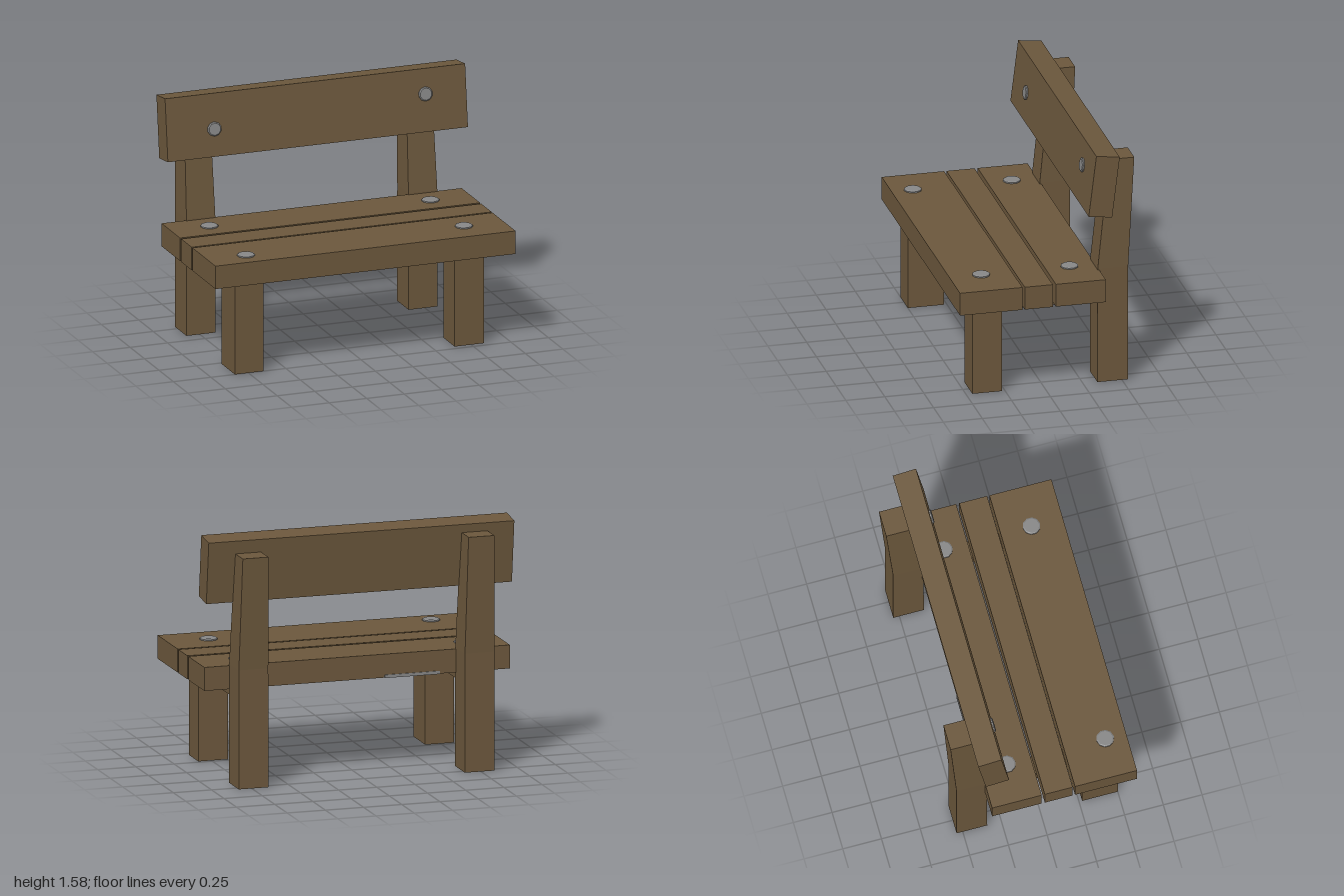
import * as THREE from 'three';

const wood = new THREE.MeshStandardMaterial({ color: 0x6b573c });
wood.name = 'brown wood';
const metal = new THREE.MeshStandardMaterial({ color: 0x868686 });
metal.name = 'grey metal';

export function createModel() {
  const bench = new THREE.Group();
  bench.name = 'bench';

  const add = (name, geometry, material, parent = bench) => {
    const mesh = new THREE.Mesh(geometry, material);
    mesh.name = name;
    parent.add(mesh);
    return mesh;
  };

  // Box given by its limits on each axis
  const block = (name, [x0, x1], [y0, y1], [z0, z1], material = wood) => {
    const mesh = add(name, new THREE.BoxGeometry(x1 - x0, y1 - y0, z1 - z0), material);
    mesh.position.set((x0 + x1) / 2, (y0 + y1) / 2, (z0 + z1) / 2);
    return mesh;
  };

  // Low-poly bolt head with a bevelled rim, pointing up
  const bolt = (name, r, x, y, z, parent) => {
    const profile = [[r, -0.02], [r, 0.008], [r * 0.85, 0.013], [0, 0.013]]
      .map(([a, b]) => new THREE.Vector2(a, b));
    const geometry = new THREE.LatheGeometry(profile, 10).toNonIndexed();
    geometry.computeVertexNormals();
    const mesh = add(name, geometry, metal, parent);
    mesh.position.set(x, y, z);
    return mesh;
  };

  // Seat planks
  [[0.18, 0.58], [-0.015, 0.165], [-0.355, -0.035]].forEach((z, i) =>
    block('seatPlank' + (i + 1), [-1, 1], [0.6, 0.75], z));

  // Front legs and the beams under the seat
  block('frontLegRight', [-0.84, -0.65], [0, 0.61], [0.27, 0.5]);
  block('frontLegLeft', [0.64, 0.835], [0, 0.61], [0.27, 0.46]);
  block('seatBeamRight', [-0.805, -0.69], [0.53, 0.615], [-0.36, 0.3]);
  block('seatBeamLeft', [0.68, 0.79], [0.53, 0.615], [-0.36, 0.3]);

  // Back legs: straight to seat height, then leaning back and tapering
  const backLeg = (name, x, height, backTop) => {
    const rows = [
      { y: 0, w: 0.097, front: -0.342, back: -0.54 },
      { y: 0.76, w: 0.096, front: -0.345, back: -0.54 },
      { y: height, w: 0.084, front: -0.42, back: backTop },
    ];
    const geometry = new THREE.BoxGeometry(2, 2, 2, 1, 2, 1);
    const p = geometry.attributes.position;
    for (let i = 0; i < p.count; i++) {
      const row = rows[Math.round(p.getY(i)) + 1];
      p.setXYZ(i, p.getX(i) * row.w, row.y, p.getZ(i) > 0 ? row.front : row.back);
    }
    const flat = geometry.toNonIndexed();
    flat.computeVertexNormals();
    add(name, flat, wood).position.x = x;
  };
  backLeg('backLegRight', -0.742, 1.51, -0.575);
  backLeg('backLegLeft', 0.738, 1.48, -0.582);

  // Tilted backrest board with its two bolts
  const backrest = new THREE.Group();
  backrest.name = 'backrest';
  backrest.position.set(0, 1.3725, -0.345);
  backrest.rotation.x = -0.122;
  bench.add(backrest);
  add('backrestBoard', new THREE.BoxGeometry(2, 0.403, 0.151), wood, backrest);
  [[-0.683, -0.025], [0.727, 0.04]].forEach(([x, y], i) => {
    bolt('backrestBolt' + (i + 1), 0.046, x, y, 0.0755, backrest).rotation.x = Math.PI / 2;
  });

  // Seat bolts
  [[-0.745, -0.19], [0.728, -0.19], [-0.745, 0.445], [0.733, 0.378]].forEach(([x, z], i) =>
    bolt('seatBolt' + (i + 1), 0.056, x, 0.75, z));

  // Thin metal strip at the lower back edge of the seat
  block('edgeStrip', [-0.54, -0.18], [0.598, 0.618], [-0.36, -0.352], metal);

  return bench;
}
